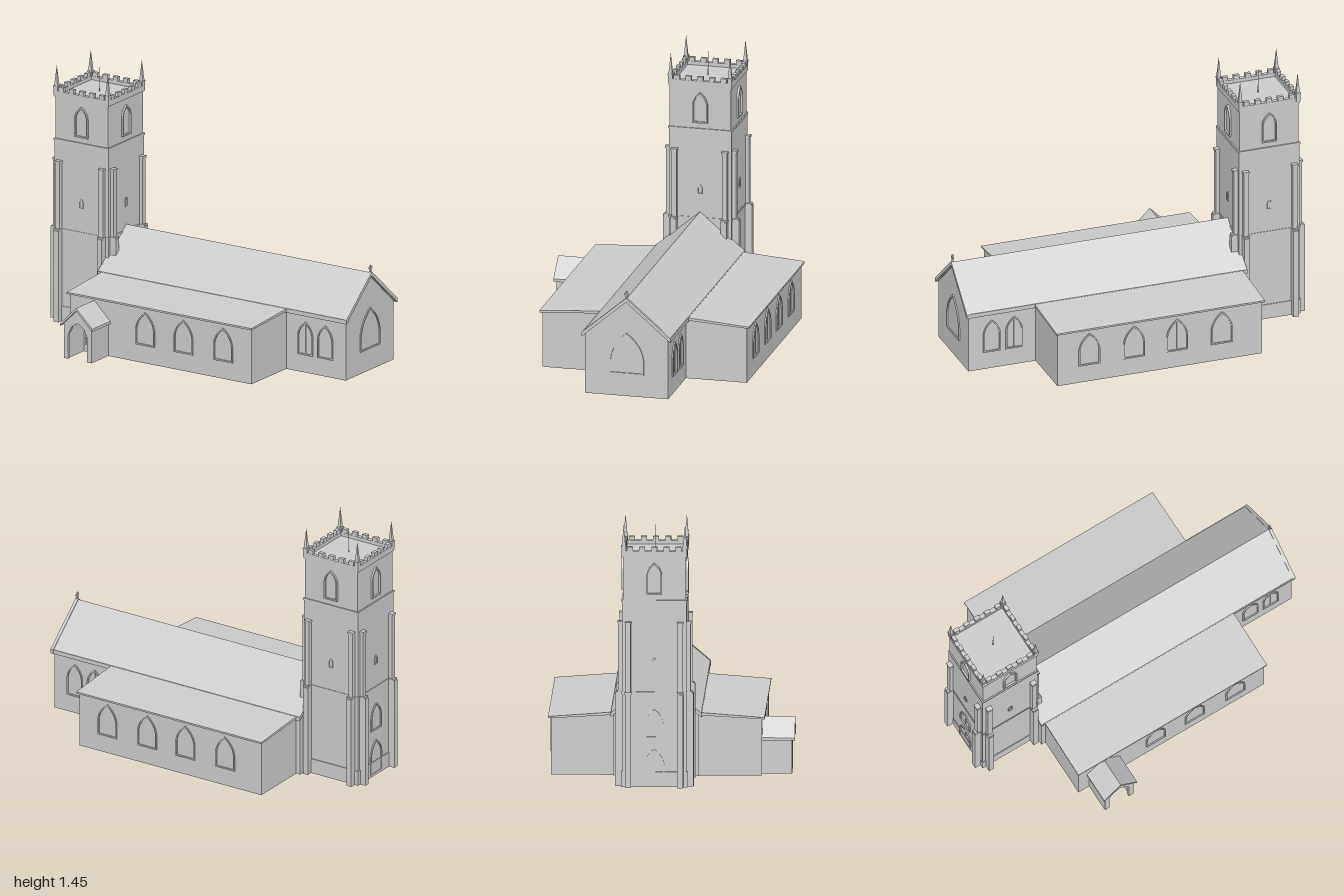
import * as THREE from 'three';

const stone = new THREE.MeshStandardMaterial({ color: 0xcccccc });
stone.name = 'paleStone';
const CZ = -0.083; // long axis of the building
const TX = -0.785; // centre of the tower in x

function add(parent, name, geo, x = 0, y = 0, z = 0, ry = 0) {
  const m = new THREE.Mesh(geo, stone);
  m.name = name;
  m.position.set(x, y, z);
  m.rotation.y = ry;
  parent.add(m);
  return m;
}

// box given by its minimum and maximum on each axis
function block(parent, name, x0, x1, y0, y1, z0, z1) {
  return add(parent, name, new THREE.BoxGeometry(x1 - x0, y1 - y0, z1 - z0),
    (x0 + x1) / 2, (y0 + y1) / 2, (z0 + z1) / 2);
}

const polygon = pts => new THREE.Shape(pts.map(p => new THREE.Vector2(p[0], p[1])));
const extrude = (shape, depth) =>
  new THREE.ExtrudeGeometry(shape, { depth, bevelEnabled: false, curveSegments: 6 });

// cross-section of (-z, y) points drawn out along x
function alongX(parent, name, pts, x0, x1, z = 0) {
  return add(parent, name, extrude(polygon(pts), x1 - x0), x0, 0, z, Math.PI / 2);
}

// pointed arch outline, used for both shapes and holes
function arch(path, w, y0, h) {
  const s = h - w * 0.8, a = w / 2;
  path.moveTo(-a, y0);
  path.lineTo(a, y0);
  path.lineTo(a, s);
  path.quadraticCurveTo(a * 0.9, s + (h - s) * 0.6, 0, h);
  path.quadraticCurveTo(-a * 0.9, s + (h - s) * 0.6, -a, s);
  path.closePath();
  return path;
}

// moulded window or door frame, facing +z before turning by ry
function opening(parent, name, w, h, x, y, z, ry, depth = 0.008) {
  const g = new THREE.Group();
  g.name = name;
  g.position.set(x, y, z);
  g.rotation.y = ry;
  const t = Math.min(0.008, w * 0.15);
  const frame = arch(new THREE.Shape(), w, 0, h);
  frame.holes.push(arch(new THREE.Path(), w - 2 * t, t, h - t * 1.3));
  add(g, 'frame', extrude(frame, depth));
  if (w > 0.05) block(g, 'mullion', -0.002, 0.002, t, h - t * 1.3, 0, 0.002);
  parent.add(g);
}

function chevron(half, eave, ridge, t) {
  return [[-half, eave - t], [0, ridge - t], [half, eave - t], [half, eave], [0, ridge], [-half, eave]];
}

function makeNave(root) {
  const g = new THREE.Group();
  g.name = 'nave';
  g.position.z = CZ;
  root.add(g);
  alongX(g, 'naveWalls', [[-0.233, 0], [0.233, 0], [0.233, 0.345], [0, 0.54], [-0.233, 0.345]], -0.62, 0.985);
  alongX(g, 'naveRoof', chevron(0.248, 0.348, 0.558, 0.022), -0.63, 0.99);
  alongX(g, 'gableCoping', chevron(0.25, 0.35, 0.564, 0.024), 0.982, 1.0);
  for (const s of [-1, 1]) {
    block(g, 'naveGutter', -0.63, 1.0, 0.335, 0.35, s * 0.24 - 0.009, s * 0.24 + 0.009);
    for (const x of [0.66, 0.79, 0.92].slice(0, 2))
      opening(g, 'chancelWindow', 0.1, 0.19, x + 0.06, 0.1, s * 0.232, s > 0 ? 0 : Math.PI);
  }
  opening(g, 'eastWindow', 0.195, 0.235, 0.984, 0.125, 0, Math.PI / 2);
  // gable cross
  block(g, 'crossPost', 0.986, 0.994, 0.55, 0.6, -0.004, 0.004);
  block(g, 'crossArm', 0.986, 0.994, 0.58, 0.588, -0.012, 0.012);

  // side aisles with shallow lean-to roofs
  for (const s of [-1, 1]) {
    const z0 = s * 0.2, z1 = s * 0.575;
    block(g, 'aisleWalls', -0.595, 0.595, 0, 0.315, Math.min(z0, z1), Math.max(z0, z1));
    const eave = [[0.23, 0.334], [0.59, 0.313], [0.59, 0.323], [0.23, 0.35]];
    alongX(g, 'aisleRoof', s < 0 ? eave : eave.map(p => [-p[0], p[1]]), -0.605, 0.605);
    const gable = [[0.2, 0.3], [0.57, 0.3], [0.57, 0.316], [0.2, 0.338]];
    alongX(g, 'aisleGable', s < 0 ? gable : gable.map(p => [-p[0], p[1]]), -0.595, 0.595);
    for (const x of [-0.36, -0.1, 0.15, 0.41])
      if (s < 0 || x > -0.2)
        opening(g, 'aisleWindow', 0.125, 0.19, x, 0.1, s * 0.574, s > 0 ? 0 : Math.PI);
  }
}

function makePorch(root) {
  const g = new THREE.Group();
  g.name = 'porch';
  g.position.set(-0.435, 0, 0);
  root.add(g);
  for (const s of [-1, 1]) {
    block(g, 'porchWall', s * 0.08 - 0.012, s * 0.08 + 0.012, 0, 0.21, 0.48, 0.65);
  }
  // gabled front with an arched way in
  const front = polygon([[-0.09, 0], [-0.062, 0], [-0.062, 0.14], [-0.04, 0.185], [0, 0.21],
    [0.04, 0.185], [0.062, 0.14], [0.062, 0], [0.09, 0], [0.09, 0.2], [0, 0.285], [-0.09, 0.2]]);
  add(g, 'porchFront', extrude(front, 0.02), 0, 0, 0.635);
  add(g, 'porchRoof', extrude(polygon(chevron(0.105, 0.2, 0.302, 0.016)), 0.18), 0, 0, 0.49);
  opening(g, 'porchDoor', 0.105, 0.165, 0, 0.04, 0.491, 0);
}

function makeTower(root) {
  const g = new THREE.Group();
  g.name = 'tower';
  g.position.set(TX, 0, CZ);
  root.add(g);
  const square = (name, half, y0, y1) => block(g, name, -half, half, y0, y1, -half, half);
  square('plinth', 0.18, 0, 0.085);
  square('lowerStage', 0.176, 0, 1.03);
  square('belfryStage', 0.172, 1.03, 1.285);
  square('stringCourse', 0.179, 0.515, 0.527);
  square('belfryCourse', 0.179, 1.022, 1.034);
  square('parapetCourse', 0.178, 1.272, 1.284);

  for (let i = 0; i < 4; i++) {
    const side = new THREE.Group(); // one face of the tower, facing +z
    side.name = 'towerSide';
    side.rotation.y = i * Math.PI / 2;
    g.add(side);
    // stepped buttresses near each corner
    for (const s of [-1, 1]) {
      const x = s * 0.142;
      block(side, 'lowerButtress', x - 0.016, x + 0.016, 0, 0.518, 0.16, 0.214);
      block(side, 'lowerButtressCap', x - 0.018, x + 0.018, 0.515, 0.527, 0.16, 0.209);
      block(side, 'upperButtress', x - 0.014, x + 0.014, 0.52, 0.905, 0.16, 0.198);
      block(side, 'upperButtressCap', x - 0.017, x + 0.017, 0.902, 0.914, 0.16, 0.202);
    }
    opening(side, 'belfryWindow', 0.085, 0.175, 0, 1.065, 0.171, 0, 0.012);
    opening(side, 'slitWindow', 0.026, 0.055, 0, 0.66, 0.175, 0, 0.005);
    if (i === 3) {
      opening(side, 'westDoor', 0.11, 0.2, 0, 0.01, 0.175, 0);
      opening(side, 'westWindow', 0.1, 0.16, 0, 0.27, 0.175, 0);
    }
    // parapet and battlements
    block(side, 'parapet', -0.178, 0.178, 1.282, 1.305, 0.155, 0.178);
    for (let k = -2; k <= 2; k++)
      block(side, 'merlon', k * 0.066 - 0.016, k * 0.066 + 0.016, 1.303, 1.328, 0.156, 0.177);
    // corner pinnacle
    block(side, 'pinnacleBase', 0.155, 0.179, 1.28, 1.33, 0.155, 0.179);
    add(side, 'pinnacleSpire', new THREE.ConeGeometry(0.015, 0.12, 4, 1).rotateY(Math.PI / 4).toNonIndexed(),
      0.167, 1.39, 0.167).geometry.computeVertexNormals();
    block(side, 'pinnacleCollar', 0.153, 0.181, 1.324, 1.333, 0.153, 0.181);
  }
  add(g, 'flagpole', new THREE.CylinderGeometry(0.0015, 0.0025, 0.14, 8), 0, 1.352, 0);
}

export function createModel() {
  const root = new THREE.Group();
  root.name = 'church';
  makeNave(root);
  makePorch(root);
  makeTower(root);
  return root;
}
